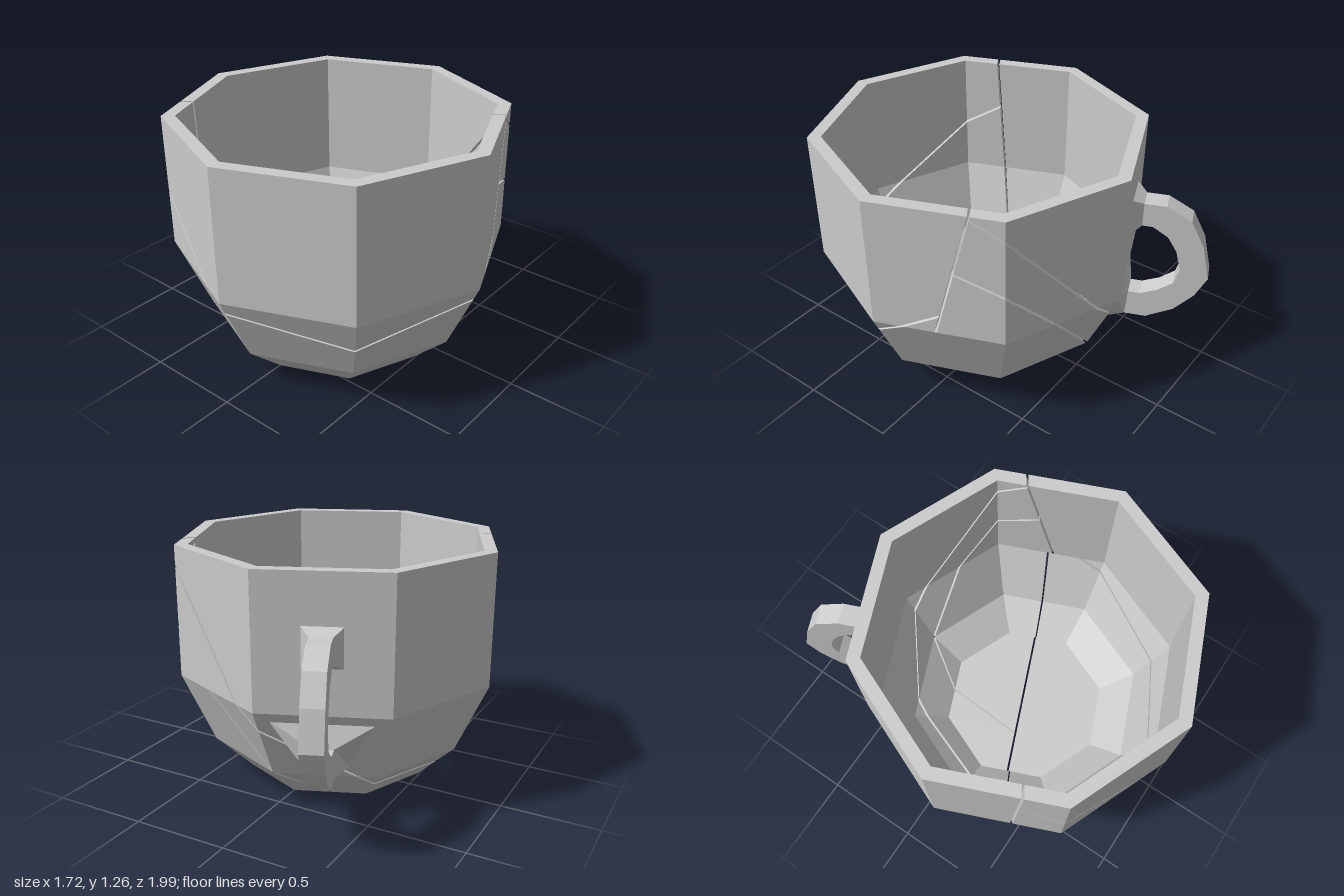
import * as THREE from 'three';

const material = new THREE.MeshStandardMaterial({ color: 0xcccccc, flatShading: true });
const CENTER_Z = 0.135, SIDES = 8, GAP = 0.006, FACE_W = 0.6;

// Horizontal rings of the shell: [outer radius, outer y, inner radius, inner y]
const rings = [
  [0.49, 0, 0.455, 0.06],
  [0.69, 0.19, 0.64, 0.22],
  [0.858, 0.57, 0.79, 0.59],
  [0.858, 1.26, 0.79, 1.26],
];

// Cracks per wall face, as [u0, y0, u1, y1]; each splits the shard it lies in
const cracks = {
  lowerWall: {
    2: [[0.53, 0, 0.52, 0.19]],
    4: [[0.8, 0.19, 1, 0.12], [0, 0.19, 0.5, 0]],
    5: [[0, 0.12, 1, 0.1]],
    6: [[0.48, 0, 0.52, 0.19], [0, 0.1, 0.5, 0.08]],
  },
  middleWall: {
    0: [[0, 0.495, 1, 0.38]],
    1: [[0, 0.38, 1, 0.5]],
    2: [[0.52, 0.19, 0.53, 0.57], [0, 0.5, 0.22, 0.57]],
    3: [[0.43, 0.57, 1, 0.19], [0.79, 0.57, 1, 0.46]],
    4: [[0, 0.46, 0.8, 0.19]],
    6: [[0.52, 0.19, 0.61, 0.57]],
    7: [[0.75, 0.57, 1, 0.495]],
  },
  upperWall: {
    2: [[0.48, 0.57, 0.75, 1.26], [0.22, 0.57, 0.52, 0.675],
      [0.64, 0.93, 1, 0.845], [0.75, 1.24, 1, 1.15]],
    3: [[0, 0.845, 0.43, 0.57], [0, 1.15, 0.79, 0.57]],
    6: [[0.61, 0.57, 0.68, 1.26], [0.7, 0.97, 1, 0.86]],
    7: [[0, 0.86, 0.75, 0.57]],
  },
};

// Signed distance of p to the left of line a-b
function distance(p, a, b) {
  const dx = b[0] - a[0], dy = b[1] - a[1];
  return (dx * (p[1] - a[1]) - dy * (p[0] - a[0])) / Math.hypot(dx, dy);
}

// Keep the part of a convex polygon lying more than GAP to the left of a-b
function clip(poly, a, b) {
  const out = [];
  poly.forEach((p, i) => {
    const q = poly[(i + 1) % poly.length];
    const dp = distance(p, a, b) - GAP, dq = distance(q, a, b) - GAP;
    if (dp >= 0) out.push(p);
    if (dp * dq < 0) {
      const t = dp / (dp - dq);
      out.push([p[0] + (q[0] - p[0]) * t, p[1] + (q[1] - p[1]) * t]);
    }
  });
  return out;
}

// Split a polygon into shards along a list of crack lines
function shatter(poly, lines) {
  let shards = [poly];
  for (const [a, b] of lines) {
    const mid = [(a[0] + b[0]) / 2, (a[1] + b[1]) / 2];
    shards = shards.flatMap((s) => {
      const hit = s.every((p, i) => distance(mid, p, s[(i + 1) % s.length]) > 0);
      return hit ? [clip(s, a, b), clip(s, b, a)].filter((c) => c.length > 2) : [s];
    });
  }
  return shards;
}

function addPolygon(out, pts) {
  for (let i = 1; i < pts.length - 1; i++) {
    for (const p of [pts[0], pts[i], pts[i + 1]]) out.push(...p);
  }
}

// Give a flat shard its thickness; joints with neighbouring panels stay open
function addShard(out, poly, place, isJoint) {
  const outer = poly.map((p) => place(p, 0)), inner = poly.map((p) => place(p, 2));
  addPolygon(out, outer);
  addPolygon(out, [...inner].reverse());
  poly.forEach((p, i) => {
    const j = (i + 1) % poly.length;
    if (!isJoint(p, poly[j])) addPolygon(out, [outer[j], outer[i], inner[i], inner[j]]);
  });
}

function makeMesh(name, positions) {
  const geometry = new THREE.BufferGeometry();
  geometry.setAttribute('position', new THREE.Float32BufferAttribute(positions, 3));
  geometry.computeVertexNormals();
  const mesh = new THREE.Mesh(geometry, material);
  mesh.name = name;
  return mesh;
}

function corner(k, r, y) {
  const a = (k * 2 * Math.PI) / SIDES;
  return [r * Math.sin(a), y, r * Math.cos(a)];
}
const lerp = (a, b, t) => a.map((v, i) => v + (b[i] - v) * t);

// One band of eight cracked wall panels
function makeWall(name, low, high, hasRim) {
  const out = [], y0 = low[1], y1 = high[1];
  const near = (a, b, axis, v) => Math.abs(a[axis] - v) < 1e-5 && Math.abs(b[axis] - v) < 1e-5;
  const isJoint = (a, b) => near(a, b, 0, 0) || near(a, b, 0, FACE_W)
    || near(a, b, 1, y0) || (!hasRim && near(a, b, 1, y1));
  for (let f = 0; f < SIDES; f++) {
    const place = ([x, y], layer) => {
      const u = x / FACE_W, v = (y - y0) / (y1 - y0);
      const edge = (k) => lerp(corner(k, low[layer], low[layer + 1]),
        corner(k, high[layer], high[layer + 1]), v);
      return lerp(edge(f), edge(f + 1), u);
    };
    const panel = [[0, y0], [FACE_W, y0], [FACE_W, y1], [0, y1]];
    const lines = (cracks[name][f] || []).map(([a, b, c, d]) => [[a * FACE_W, b], [c * FACE_W, d]]);
    for (const shard of shatter(panel, lines)) addShard(out, shard, place, isJoint);
  }
  return makeMesh(name, out);
}

// Octagonal floor with a crack across it and one branch
function makeFloor() {
  const out = [], [r, y, ri, yi] = rings[0];
  const octagon = [];
  for (let k = SIDES; k > 0; k--) {
    const [x, , z] = corner(k, r, y);
    octagon.push([x, z]);
  }
  const lines = [[[-0.6, 0.226], [0.6, -0.266]], [[-0.2, 0.06], [-0.173, -0.4]]];
  const place = ([x, z], layer) => (layer ? [x * ri / r, yi, z * ri / r] : [x, y, z]);
  const apothem = r * Math.cos(Math.PI / SIDES);
  const isJoint = (a, b) =>
    Math.hypot((a[0] + b[0]) / 2, (a[1] + b[1]) / 2) > apothem - 1e-5;
  for (const shard of shatter(octagon, lines)) addShard(out, shard, place, isJoint);
  return makeMesh('floor', out);
}

// Handle lofted through rectangular sections, flared where it meets the wall
function makeHandle() {
  // [outer reach, outer y, inner reach, inner y, outer half width, inner half width]
  const W = 0.055;
  const sections = [
    [0.65, 0.25, 0.77, 0.53, 0.12, 0.26],
    [0.8, 0.26, 0.81, 0.41],
    [0.913, 0.26, 0.87, 0.41],
    [1.054, 0.34, 0.96, 0.45],
    [1.15, 0.45, 1.035, 0.51],
    [1.206, 0.57, 1.06, 0.6],
    [1.16, 0.76, 1.03, 0.71],
    [1.087, 0.9, 0.98, 0.79],
    [0.957, 0.97, 0.9, 0.84],
    [0.845, 0.97, 0.845, 0.84],
    [0.785, 1.01, 0.785, 0.8, 0.105, 0.105],
  ].map(([ro, yo, ri, yi, wo = W, wi = W]) =>
    [[wo, yo, ro], [-wo, yo, ro], [-wi, yi, ri], [wi, yi, ri]]);
  const out = [];
  for (let i = 0; i < sections.length - 1; i++) {
    const a = sections[i], b = sections[i + 1];
    for (let j = 0; j < 4; j++) {
      const n = (j + 1) % 4;
      addPolygon(out, [a[n], a[j], b[j], b[n]]);
    }
  }
  const handle = makeMesh('handle', out);
  handle.rotation.y = Math.PI + Math.PI / SIDES;
  return handle;
}

export function createModel() {
  const cup = new THREE.Group();
  cup.name = 'crackedCup';
  cup.add(makeFloor());
  ['lowerWall', 'middleWall', 'upperWall'].forEach((name, i) => {
    cup.add(makeWall(name, rings[i], rings[i + 1], i === 2));
  });
  cup.add(makeHandle());
  cup.position.z = CENTER_Z;
  const model = new THREE.Group();
  model.add(cup);
  return model;
}
